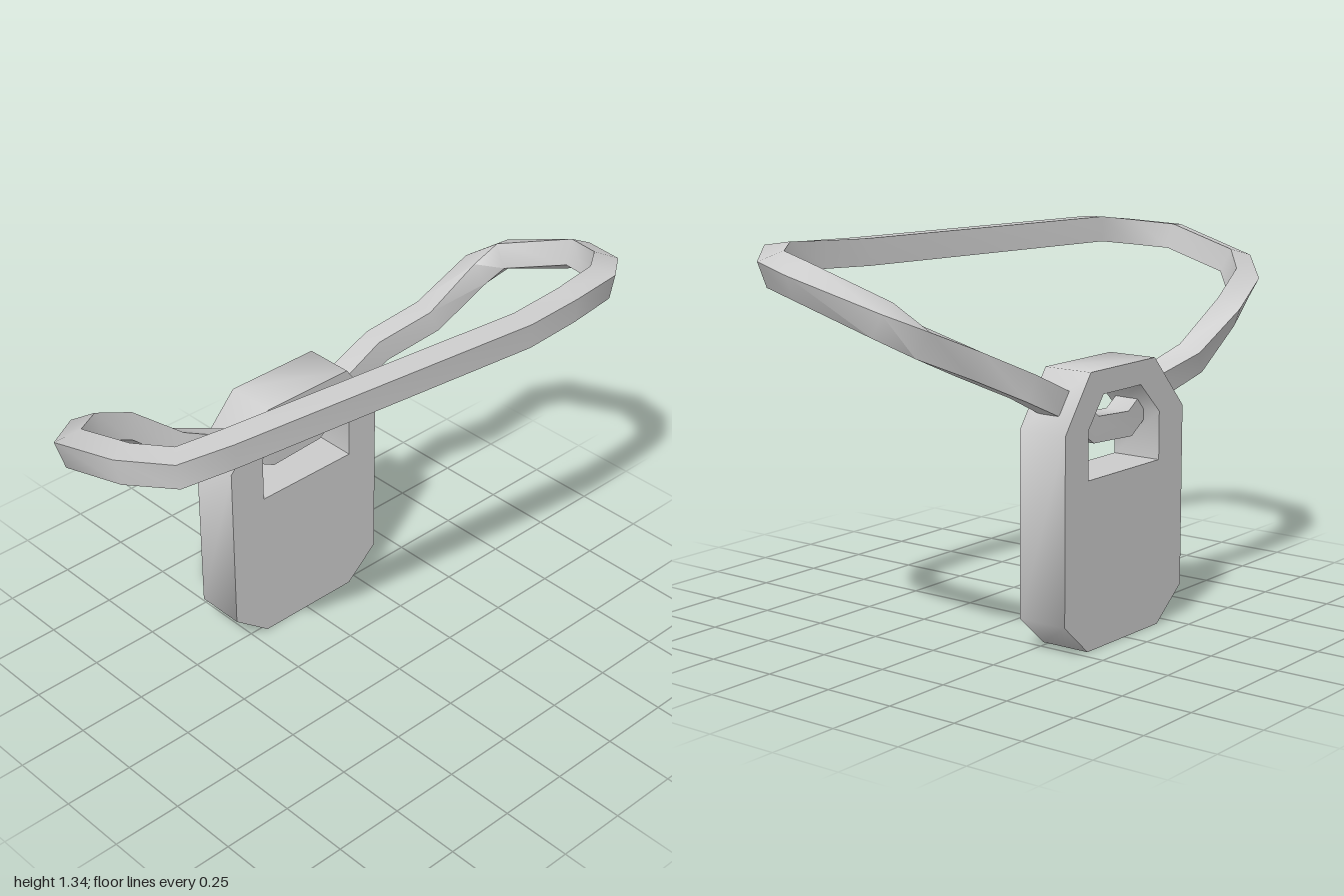
import * as THREE from 'three';
import { toCreasedNormals } from 'three/addons/utils/BufferGeometryUtils.js';

const material = new THREE.MeshStandardMaterial({ color: 0xcccccc });
const points = (list) => list.map(([x, y]) => new THREE.Vector2(x, y));

// Chamfered slab with a window near its top
function tagGeometry() {
  const shape = new THREE.Shape(points([
    [-0.19, 0], [0.21, 0], [0.335, 0.11], [0.335, 0.735],
    [0.2, 0.92], [-0.16, 0.92], [-0.33, 0.735], [-0.33, 0.11],
  ]));
  shape.holes.push(new THREE.Path(points([
    [-0.19, 0.57], [-0.19, 0.735], [-0.08, 0.84], [0.13, 0.84], [0.21, 0.735], [0.21, 0.57],
  ])));
  const geometry = new THREE.ExtrudeGeometry(shape, { depth: 0.18, bevelEnabled: false });
  return toCreasedNormals(geometry.translate(0, 0, -0.41), 1);
}

// Closed square band swept along a path of [x, y, z, roll]; roll tips the outer edge down
function bandGeometry(path, width, height) {
  const n = path.length;
  const at = (i) => new THREE.Vector3(...path[(i + n) % n].slice(0, 3));
  const up = new THREE.Vector3(0, 1, 0);
  const positions = [];
  const index = [];
  path.forEach(([, , , roll], i) => {
    const p = at(i);
    const before = p.clone().sub(at(i - 1)).normalize();
    const after = at(i + 1).sub(p).normalize();
    const tangent = before.clone().add(after).normalize();
    const mitre = 1 / tangent.dot(after);
    const out = tangent.clone().cross(up).normalize();
    const top = out.clone().cross(tangent);
    const w = out.clone().multiplyScalar(Math.cos(roll)).addScaledVector(top, -Math.sin(roll));
    const h = top.clone().multiplyScalar(Math.cos(roll)).addScaledVector(out, Math.sin(roll));
    for (const [a, b] of [[1, 1], [-1, 1], [-1, -1], [1, -1]]) {
      const corner = p.clone()
        .addScaledVector(w, a * mitre * width / 2)
        .addScaledVector(h, b * height / 2);
      positions.push(...corner.toArray());
    }
    const next = (i + 1) % n;
    for (let k = 0; k < 4; k++) {
      const m = (k + 1) % 4;
      const [a, b, c, d] = [i * 4 + k, next * 4 + k, next * 4 + m, i * 4 + m];
      index.push(a, b, d, b, c, d);
    }
  });
  const geometry = new THREE.BufferGeometry();
  geometry.setAttribute('position', new THREE.Float32BufferAttribute(positions, 3));
  geometry.setIndex(index);
  return toCreasedNormals(geometry, 1);
}

export function createModel() {
  const group = new THREE.Group();
  const add = (name, geometry) => {
    const mesh = new THREE.Mesh(geometry, material);
    mesh.name = name;
    group.add(mesh);
  };

  add('tag', tagGeometry());

  // Strap runs through the window, round the left end, along the front and back
  add('strap', bandGeometry([
    [0.09, 0.71, -0.31, 0], [-0.1, 0.70, -0.31, 0],
    [-0.26, 0.79, -0.3, 0.1], [-0.47, 0.87, -0.35, 0.3],
    [-0.66, 1.01, -0.37, 0.5], [-0.82, 1.09, -0.335, 0.45],
    [-0.955, 1.14, -0.22, 0.3], [-0.96, 1.22, 0.05, 0.1],
    [-0.875, 1.235, 0.19, 0.05], [-0.72, 1.255, 0.24, 0.05],
    [0.4, 1.265, 0.38, 0.05], [0.61, 1.275, 0.38, 0.08],
    [0.79, 1.285, 0.367, 0.15], [0.9, 1.265, 0.28, 0.35],
    [0.94, 1.245, 0.14, 0.45], [0.895, 1.145, -0.15, 0.3],
    [0.825, 1.08, -0.225, 0.15], [0.59, 0.98, -0.23, 0],
    [0.42, 0.895, -0.308, 0], [0.24, 0.81, -0.315, 0],
  ], 0.085, 0.09));

  return group;
}
